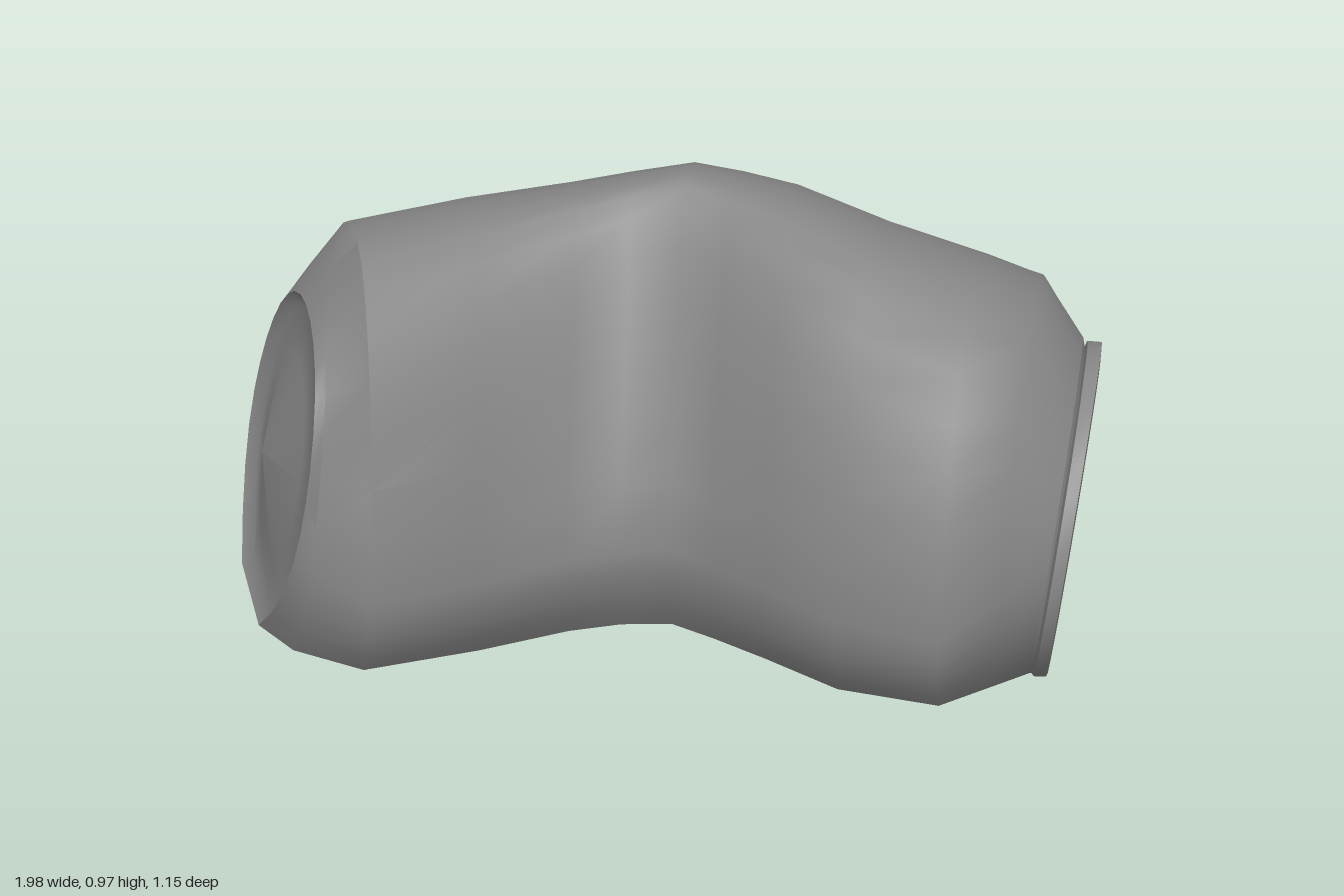
import * as THREE from 'three';
import { toCreasedNormals } from 'three/addons/utils/BufferGeometryUtils.js';

const LOWER = 4, UPPER = 16, AROUND = LOWER * 2 + UPPER;

// Cross-section shapes. For the front and back side: height of the widest
// point (share of h) and floor half-width (share of the widest one);
// apex is where the top sits between front (0) and back (1).
const BODY = { front: [0.24, 0.80], back: [0.47, 0.63], apex: 0.43 };
const SHOULDER = { front: [0.34, 0.72], back: [0.46, 0.63], apex: 0.47 };
const LEFT_END = { front: [0.48, 0.40], back: [0.48, 0.40], apex: 0.5 };
const RIGHT_END = { front: [0.42, 0.69], back: [0.42, 0.69], apex: 0.5 };

// Flat-bottomed arch between a front and a back plan point.
// lean tilts it along x; pull hollows the upper front wall (inside of the bend).
function arch([shape, fx, fz, bx, bz, h, lean = 0, pull = 0]) {
  const pts = [];
  for (let j = 0; j <= AROUND; j++) {
    const [wide, floor] = j <= AROUND / 2 ? shape.front : shape.back;
    const sign = j <= AROUND / 2 ? 1 : -1;
    const c = wide * h;
    const below = LOWER - Math.min(j, AROUND - j);
    let u, y;
    if (below > 0) {
      const s = below / LOWER;
      u = sign * (1 - (1 - floor) * s * s);
      y = c * (1 - s);
    } else {
      const t = Math.PI * (j - LOWER) / UPPER;
      u = Math.cos(t);
      y = c + (h - c) * Math.sin(t);
    }
    const k = u > 0 ? shape.apex * (1 - u) : shape.apex - (1 - shape.apex) * u;
    const hollow = pull * Math.max(0, y / h - 0.25) * Math.max(0, u);
    pts.push(new THREE.Vector3(
      fx + (bx - fx) * k + lean * (2 * y / h - 1),
      y,
      fz + (bz - fz) * k - hollow));
  }
  return pts;
}

// Shrinks a loop toward its floor centre and slides it along x.
function inset(loop, scale, dx, lift = 0) {
  const c = loop[0].clone().add(loop[AROUND]).multiplyScalar(0.5);
  c.y = lift;
  return loop.map(p => {
    const q = p.clone().sub(c).multiplyScalar(scale).add(c);
    q.x += dx;
    return q;
  });
}

// Skin over closed loops ordered from -x to +x.
function loft(name, loops, crease) {
  const n = loops[0].length, pos = [], index = [];
  loops.forEach(l => l.forEach(p => pos.push(p.x, p.y, p.z)));
  for (let i = 0; i < loops.length - 1; i++) {
    for (let j = 0; j < n; j++) {
      const k = (j + 1) % n, a = i * n + j, d = i * n + k;
      index.push(a, a + n, d + n, a, d + n, d);
    }
  }
  const g = new THREE.BufferGeometry();
  g.setAttribute('position', new THREE.Float32BufferAttribute(pos, 3));
  g.setIndex(index);
  const mesh = new THREE.Mesh(toCreasedNormals(g, crease),
    new THREE.MeshStandardMaterial({ color: 0x878787, side: THREE.DoubleSide }));
  mesh.name = name;
  return mesh;
}

export function createModel() {
  const group = new THREE.Group();
  group.name = 'bentSleeve';

  // shape, front x, front z, back x, back z, height, lean, pull
  const sections = [
    [LEFT_END, -0.715, 0.52, -0.975, -0.17, 0.74, 0.085],
    [SHOULDER, -0.68, 0.515, -0.92, -0.27, 0.79, 0.065],
    [BODY, -0.55, 0.555, -0.83, -0.35, 0.89, 0.03],
    [BODY, -0.35, 0.45, -0.52, -0.51, 0.90, 0, 0.08],
    [BODY, -0.17, 0.34, -0.26, -0.56, 0.92, 0, 0.28],
    [BODY, -0.06, 0.295, -0.10, -0.57, 0.945, 0, 0.33],
    [BODY, 0.05, 0.28, 0.05, -0.575, 0.97, 0, 0.30],
    [BODY, 0.15, 0.34, 0.17, -0.58, 0.96, 0, 0.22],
    [BODY, 0.27, 0.42, 0.30, -0.575, 0.945, 0, 0.12],
    [BODY, 0.43, 0.53, 0.52, -0.475, 0.91, 0, 0.04],
    [BODY, 0.65, 0.575, 0.75, -0.44, 0.85],
    [SHOULDER, 0.78, 0.51, 0.86, -0.40, 0.80, 0.01],
    [RIGHT_END, 0.875, 0.455, 0.93, -0.34, 0.65, 0.03],
  ].map(arch);
  group.add(loft('body', sections, 0.85));

  // Shallow bowl in the tilted open end
  const left = sections[0];
  group.add(loft('leftEndCap', [
    inset(left, 0.001, 0.05, 0.37),
    inset(left, 0.6, 0.045, 0.37),
    inset(left, 0.92, 0.03, 0.37),
    left,
  ], 1.0));

  // Raised rim and recessed cap at the other end
  const neck = arch([RIGHT_END, 0.88, 0.45, 0.935, -0.32, 0.63, 0.03]);
  const lip = arch([RIGHT_END, 0.885, 0.468, 0.94, -0.335, 0.645, 0.03]);
  const rim = arch([RIGHT_END, 0.91, 0.465, 0.975, -0.33, 0.645, 0.03]);
  const ledge = inset(rim, 0.935, -0.015);
  group.add(loft('rightRim', [
    sections[sections.length - 1], neck, lip, rim, inset(rim, 0.94, 0.003), ledge,
  ], 0.6));
  group.add(loft('rightEndCap', [ledge, inset(rim, 0.001, -0.015)], 0.6));

  return group;
}
